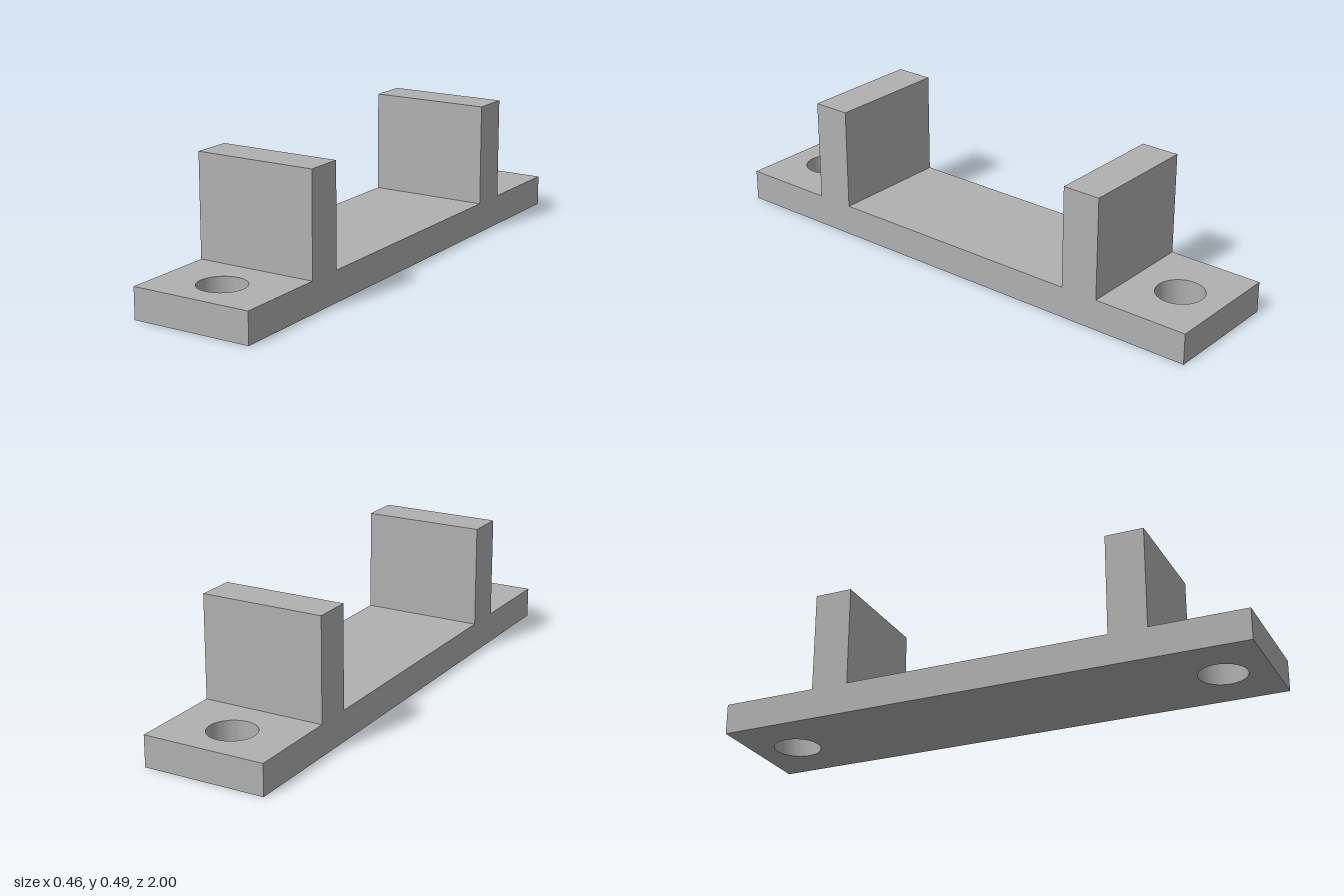
import * as THREE from 'three';
import { toCreasedNormals } from 'three/addons/utils/BufferGeometryUtils.js';

const WIDTH = 0.458, LENGTH = 2, BASE = 0.115, HEIGHT = 0.493;
const WALL_IN = 0.5, WALL_OUT = 0.643;
const HOLE_Z = 0.829, HOLE_R = 0.087;

export function createModel() {
  const group = new THREE.Group();
  group.name = 'bracket';
  const grey = new THREE.MeshStandardMaterial({ color: 0xb0b0b0 });
  grey.name = 'grey';

  // Base plate with a round screw hole near each end
  const w = WIDTH / 2, l = LENGTH / 2;
  const outline = new THREE.Shape([
    new THREE.Vector2(-w, -l), new THREE.Vector2(w, -l),
    new THREE.Vector2(w, l), new THREE.Vector2(-w, l),
  ]);
  for (const s of [-1, 1]) {
    outline.holes.push(new THREE.Path().absarc(0, s * HOLE_Z, HOLE_R, 0, Math.PI * 2, true));
  }
  const plate = new THREE.ExtrudeGeometry(outline, { depth: BASE, bevelEnabled: false, curveSegments: 32 });
  plate.rotateX(-Math.PI / 2);
  const base = new THREE.Mesh(toCreasedNormals(plate, 0.6), grey);
  base.name = 'basePlate';
  group.add(base);

  // Two upright walls, mirrored front to back
  const wallGeometry = new THREE.BoxGeometry(WIDTH, HEIGHT - BASE, WALL_OUT - WALL_IN);
  for (const [s, name] of [[1, 'frontWall'], [-1, 'backWall']]) {
    const wall = new THREE.Mesh(wallGeometry, grey);
    wall.name = name;
    wall.position.set(0, (HEIGHT + BASE) / 2, s * (WALL_IN + WALL_OUT) / 2);
    group.add(wall);
  }
  return group;
}
